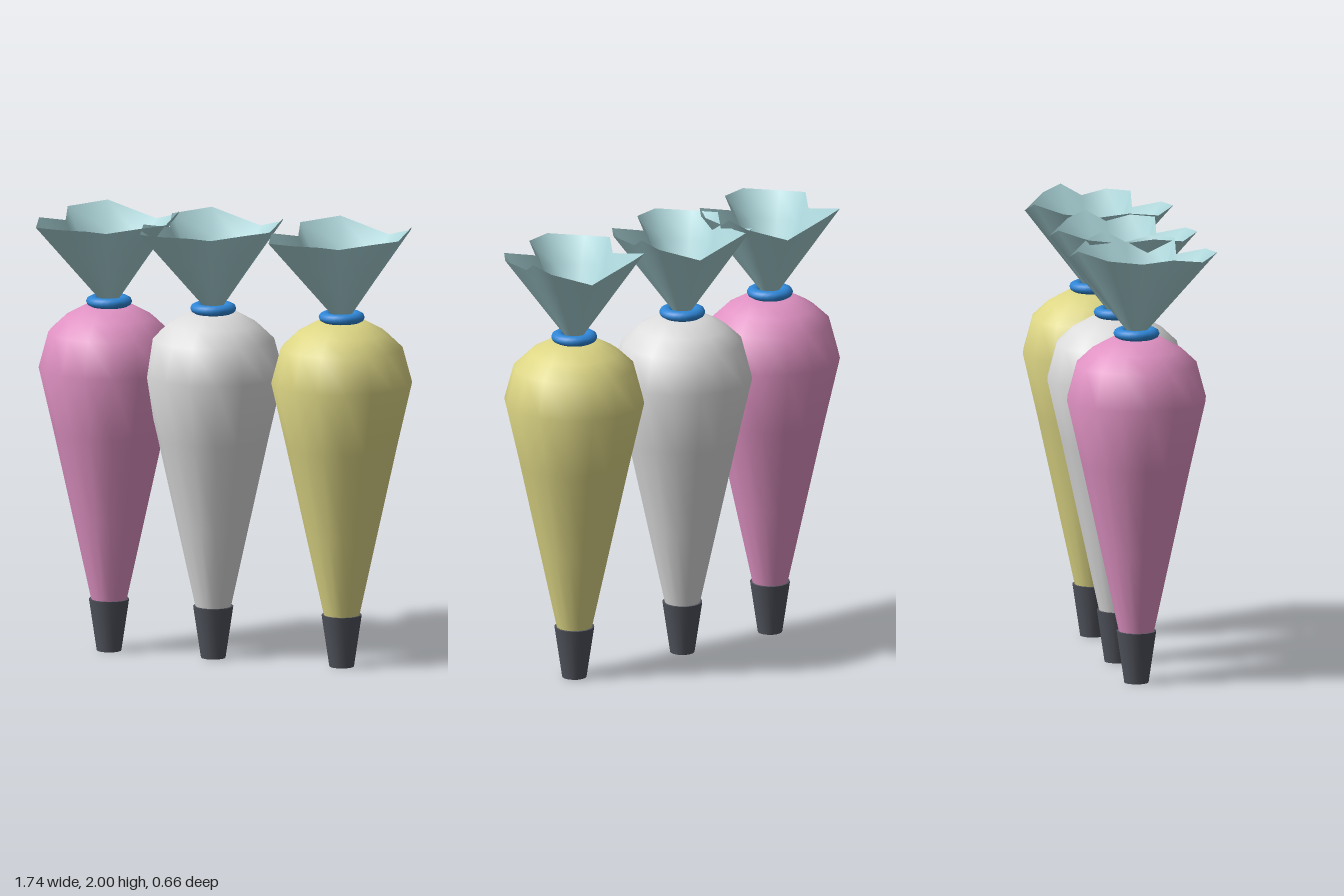
import * as THREE from 'three';
import { toCreasedNormals } from 'three/addons/utils/BufferGeometryUtils.js';

const mat = (name, color, side = THREE.FrontSide) => {
  const m = new THREE.MeshStandardMaterial({ color, side });
  m.name = name;
  return m;
};

function lathe(points, segments = 16) {
  const g = new THREE.LatheGeometry(points.map(([r, y]) => new THREE.Vector2(r, y)), segments);
  return toCreasedNormals(g, 0.8);
}

// Crumpled rim of the gathered bag top: x, y, z around the opening
const RIM = [
  [-0.11, 1.99, -0.285], [0.12, 1.92, -0.285], [0.265, 1.97, -0.175], [0.30, 2.0, -0.09],
  [0.27, 1.95, 0], [0.30, 1.97, 0.115], [0.23, 1.97, 0.215], [0.055, 1.93, 0.19],
  [0.01, 1.96, 0.315], [-0.115, 1.965, 0.345], [-0.255, 1.95, 0.255], [-0.29, 1.97, 0.115],
  [-0.21, 1.94, -0.01], [-0.26, 1.97, -0.175],
];

// Loft from a small round neck up to the crumpled rim
function collarGeometry() {
  const steps = [0, 0.12, 0.4, 0.7, 1], n = RIM.length;
  const pos = [], index = [];
  for (const t of steps) {
    for (const [x, y, z] of RIM) {
      const a = Math.atan2(z, x);
      pos.push(
        THREE.MathUtils.lerp(Math.cos(a) * 0.038, x, t),
        THREE.MathUtils.lerp(1.59, y, t),
        THREE.MathUtils.lerp(Math.sin(a) * 0.038, z, t));
    }
  }
  for (let j = 0; j < steps.length - 1; j++) {
    for (let i = 0; i < n; i++) {
      const a = j * n + i, b = j * n + (i + 1) % n;
      index.push(a, a + n, b, b, a + n, b + n);
    }
  }
  const g = new THREE.BufferGeometry();
  g.setAttribute('position', new THREE.Float32BufferAttribute(pos, 3));
  g.setIndex(index);
  g.computeVertexNormals();
  return g;
}

export function createModel() {
  const model = new THREE.Group();
  model.name = 'pipingBags';

  const teal = mat('paleTeal', 0xa9d3d7, THREE.DoubleSide);
  const blue = mat('blue', 0x2f86d6);
  const dark = mat('darkGrey', 0x50535c);

  // Filled bag, from the nozzle opening to the tied neck
  const bodyGeo = lathe([
    [0, 0.012], [0.032, 0.012], [0.08, 0.235], [0.16, 0.6], [0.248, 1.0], [0.315, 1.29],
    [0.272, 1.45], [0.2, 1.518], [0.115, 1.565], [0.037, 1.568], [0.037, 1.61], [0, 1.61],
  ]);
  const nozzleGeo = lathe([
    [0.032, 0.03], [0.032, 0], [0.055, 0], [0.09, 0.235], [0.076, 0.235],
  ]);
  const tieGeo = new THREE.TorusGeometry(0.073, 0.03, 10, 24).rotateX(Math.PI / 2).scale(1, 0.78, 1);
  const collarGeo = collarGeometry();

  const bags = [
    ['pink', 0xe092c3, -0.555],
    ['white', 0xdcdcdc, -0.06],
    ['yellow', 0xddd685, 0.55],
  ];
  for (const [name, color, x] of bags) {
    const bag = new THREE.Group();
    bag.name = name + 'Bag';
    const add = (part, geo, material, y = 0) => {
      const mesh = new THREE.Mesh(geo, material);
      mesh.name = part;
      mesh.position.y = y;
      bag.add(mesh);
    };
    add('filledBag', bodyGeo, mat(name, color));
    add('nozzle', nozzleGeo, dark);
    add('tieRing', tieGeo, blue, 1.588);
    add('gatheredTop', collarGeo, teal);
    bag.position.set(x, 0, -0.017);
    model.add(bag);
  }
  return model;
}
